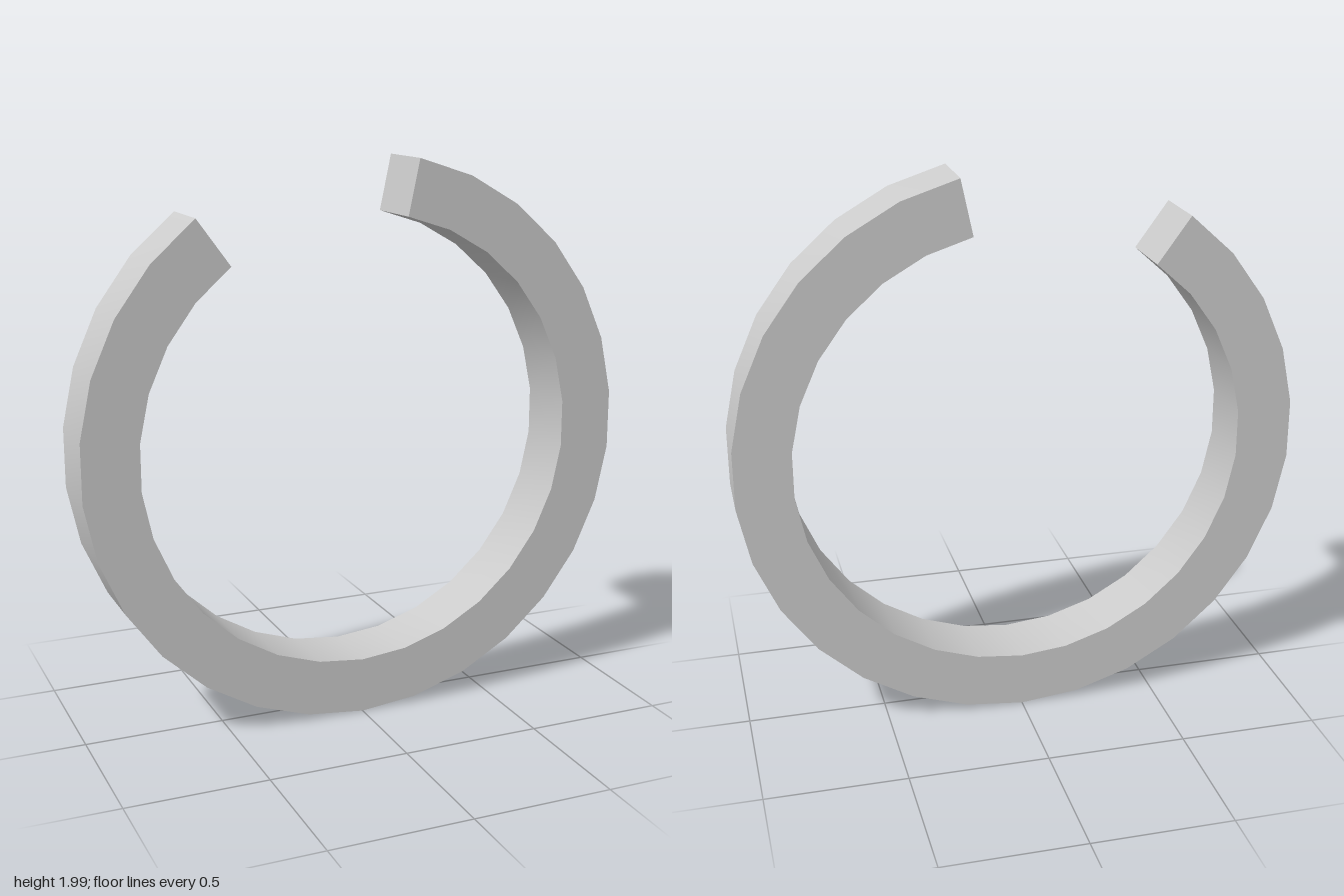
import * as THREE from 'three';
import { toCreasedNormals } from 'three/addons/utils/BufferGeometryUtils.js';

const STEP = Math.PI / 15; // 30 sides in a full turn
const SIDES = 26; // sides left after the gap
const START = THREE.MathUtils.degToRad(126);
const OUTER = 1 / Math.cos(STEP / 2);
const INNER = 0.8 * OUTER;
const DEPTH = 0.24;

// Points along the open arc at one radius
function arcPoints(radius) {
  return Array.from({ length: SIDES + 1 }, (_, i) => {
    const a = START + i * STEP;
    return new THREE.Vector2(radius * Math.cos(a), radius * Math.sin(a));
  });
}

export function createModel() {
  const group = new THREE.Group();
  group.name = 'openRing';

  // Split band: outer arc, then back along the inner arc
  const shape = new THREE.Shape([...arcPoints(OUTER), ...arcPoints(INNER).reverse()]);
  const extruded = new THREE.ExtrudeGeometry(shape, { depth: DEPTH, bevelEnabled: false });
  extruded.translate(0, OUTER, -DEPTH / 2);

  // Smooth round the band, sharp at rims and ends
  const geometry = toCreasedNormals(extruded, Math.PI / 6);
  const band = new THREE.Mesh(geometry, new THREE.MeshStandardMaterial({ color: 0xcccccc }));
  band.name = 'band';
  group.add(band);
  return group;
}
